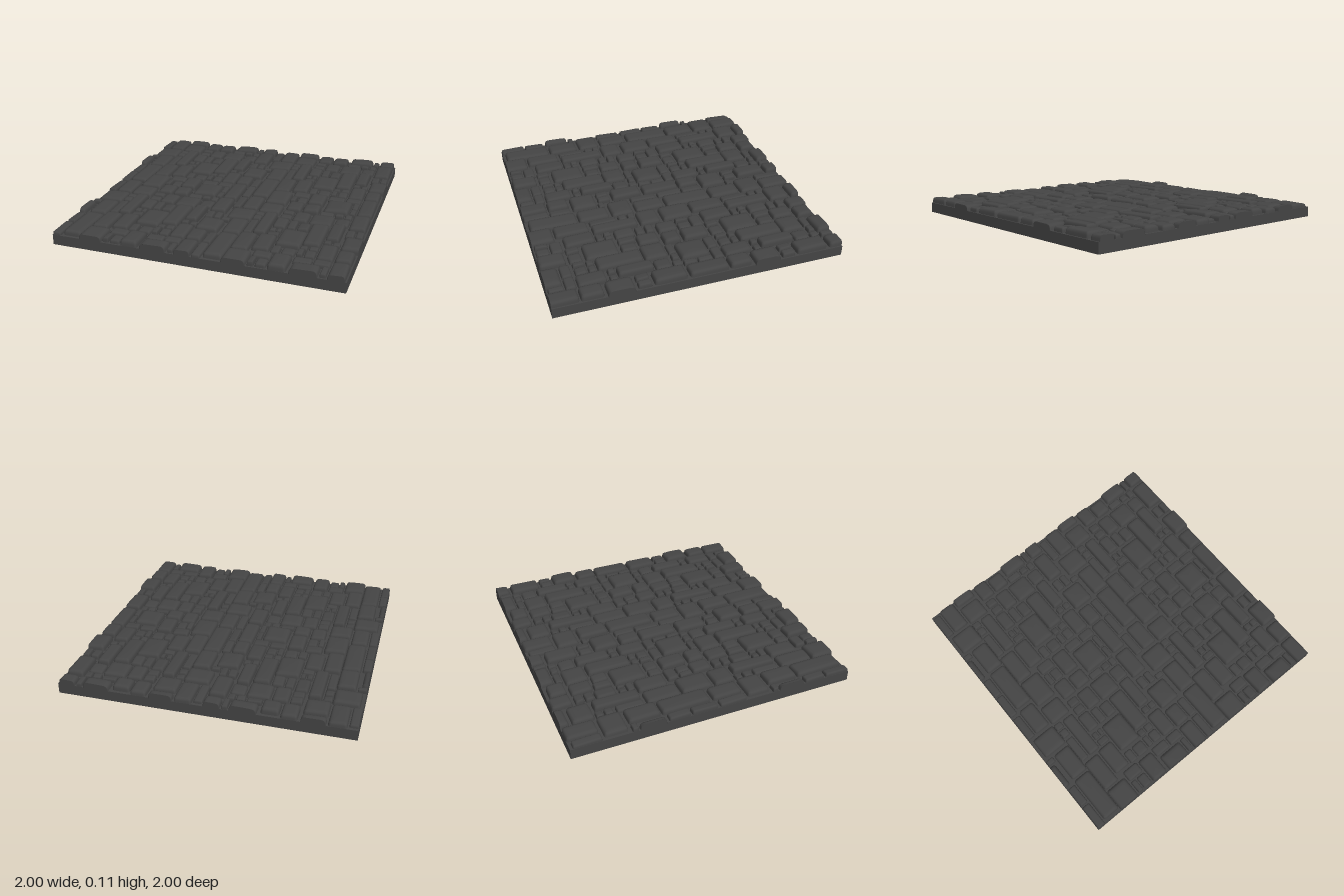
import * as THREE from 'three';
import { mergeGeometries } from 'three/addons/utils/BufferGeometryUtils.js';

const SLAB = 0.072;

// Paving pattern of one 1 x 1 tile in hundredths: x0, z0, x1, z1
const LARGE = [
  [7, 0, 19, 21], [2, 23, 20, 39], [7, 41, 20, 63], [7, 64, 20, 98],
  [20, 8, 36, 23], [27, 25, 36, 57], [20, 59, 32, 83], [20, 84, 36, 106],
  [33, 58, 45, 79], [38, 0, 49, 14], [47, 16, 58, 31], [46, 46, 63, 69],
  [50, 82, 62, 100], [59, 16, 75, 32], [63, 33, 75, 64], [64, 89, 82, 109],
  [76, 29, 85, 53], [76, 61, 87, 80], [87, 11, 99, 33], [88, 46, 104, 64],
  [88, 66, 99, 81], [88, 82, 99, 109], [50, 2, 62, 14],
];
const SMALL = [
  [0, 2, 6, 21], [0, 41, 6, 45], [0, 66, 6, 81], [0, 82, 6, 100],
  [20, 24, 26, 29], [20, 30, 26, 36], [20, 38, 26, 57], [38, 16, 46, 22],
  [38, 23, 46, 29], [37, 30, 46, 44], [37, 46, 41, 51], [42, 46, 45, 51],
  [37, 52, 45, 57], [37, 81, 49, 89], [37, 90, 41, 99], [42, 90, 49, 99],
  [47, 32, 53, 44], [54, 33, 62, 44], [46, 71, 52, 80], [53, 71, 62, 80],
  [63, 65, 68, 70], [69, 65, 75, 70], [63, 71, 67, 79], [68, 71, 75, 79],
  [63, 81, 75, 88], [76, 81, 87, 88], [63, 10, 73, 15], [74, 10, 80, 15],
  [81, 10, 86, 16], [76, 17, 86, 28], [87, 35, 93, 44], [94, 35, 99, 44],
  [76, 54, 81, 59], [82, 54, 87, 59], [83, 89, 87, 99], [83, 0, 87, 9],
];

function seeded(seed) {
  return () => (seed = (seed * 16807) % 2147483647) / 2147483647;
}

// Softly bevelled stone lofted from shrinking rounded rectangles, cut off at the slab edge
function stoneGeometry(x0, z0, x1, z1, height, tiltX, tiltZ) {
  const cx = (x0 + x1) / 2, cz = (z0 + z1) / 2;
  const halfX = (x1 - x0) / 2, halfZ = (z1 - z0) / 2;
  const size = Math.min(halfX, halfZ);
  const rings = [[0, 0], [0.03, 0.5], [0.1, 0.82], [0.26, 0.97], [0.5, 1]]; // inset, rise
  const corners = [[1, 1], [-1, 1], [-1, -1], [1, -1]];
  const clamp = v => Math.min(1, Math.max(-1, v));
  const points = [], index = [], count = 12;
  const add = (x, rise, z) => {
    const tilt = tiltX * (x - cx) / halfX + tiltZ * (z - cz) / halfZ;
    const top = height + tilt - SLAB + 0.004;
    points.push(clamp(x), SLAB - 0.004 + rise * top, clamp(z));
  };
  rings.forEach(([inset, rise], r) => {
    const hx = halfX - inset * size, hz = halfZ - inset * size;
    const radius = Math.min(0.016, size * 0.3);
    corners.forEach(([sx, sz], c) => {
      for (let k = 0; k < 3; k++) {
        const a = (c + k / 2) * Math.PI / 2;
        add(cx + sx * (hx - radius) + radius * Math.cos(a), rise,
          cz + sz * (hz - radius) + radius * Math.sin(a));
      }
    });
    if (r === 0) return;
    for (let i = 0; i < count; i++) {
      const j = (i + 1) % count, a = (r - 1) * count, b = r * count;
      index.push(a + i, b + i, a + j, a + j, b + i, b + j);
    }
  });
  const centre = rings.length * count, last = centre - count;
  add(cx, 1, cz);
  for (let i = 0; i < count; i++) index.push(last + i, centre, last + (i + 1) % count);
  const geometry = new THREE.BufferGeometry();
  geometry.setAttribute('position', new THREE.Float32BufferAttribute(points, 3));
  geometry.setIndex(index);
  geometry.computeVertexNormals();
  return geometry;
}

// Repeats a set of stones over the whole slab, including those wrapping over its edges
function paving(name, stones, baseHeight, seed, material) {
  const random = seeded(seed), parts = [];
  for (const stone of stones) {
    const [x0, z0, x1, z1] = stone.map(v => v / 100 - 1);
    const height = baseHeight + (random() - 0.5) * 0.008;
    const tiltX = (random() - 0.5) * 0.006, tiltZ = (random() - 0.5) * 0.006;
    for (const dx of [-1, 0, 1]) for (const dz of [-1, 0, 1]) {
      const outside = x1 + dx < -0.99 || z1 + dz < -0.99 || x0 + dx > 0.99 || z0 + dz > 0.99;
      if (!outside) {
        parts.push(stoneGeometry(x0 + dx, z0 + dz, x1 + dx, z1 + dz, height, tiltX, tiltZ));
      }
    }
  }
  const mesh = new THREE.Mesh(mergeGeometries(parts), material);
  mesh.name = name;
  return mesh;
}

export function createModel() {
  const model = new THREE.Group();
  model.name = 'pavedFloor';
  const stone = new THREE.MeshStandardMaterial({ color: 0x444444 });
  stone.name = 'dark grey stone';

  // Base slab
  const slab = new THREE.Mesh(new THREE.BoxGeometry(2, SLAB, 2), stone);
  slab.name = 'baseSlab';
  slab.position.y = SLAB / 2;
  model.add(slab);

  // Cobbles
  model.add(paving('largePavingStones', LARGE, 0.109, 11, stone));
  model.add(paving('smallPavingStones', SMALL, 0.1, 29, stone));
  return model;
}
